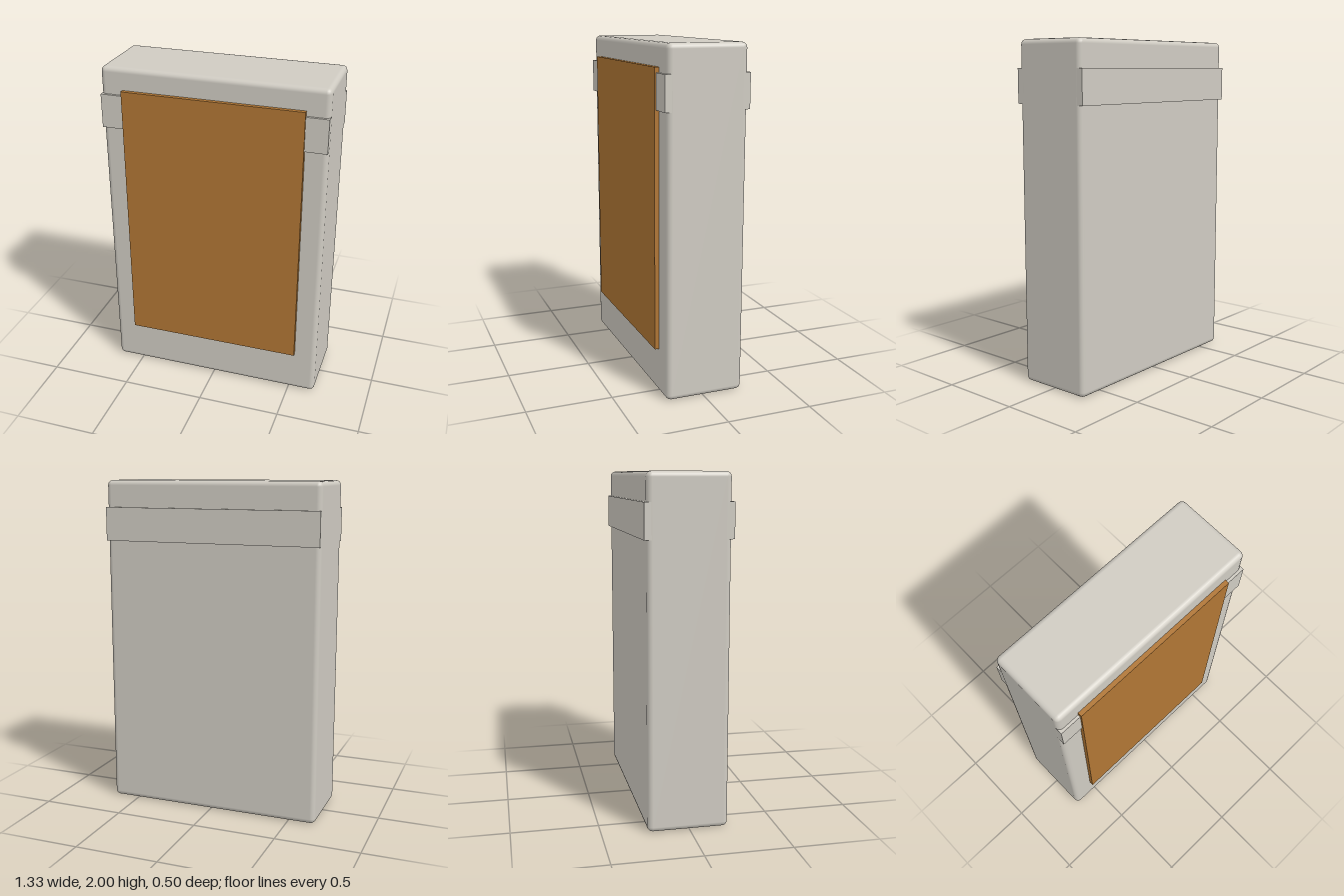
import * as THREE from 'three';
import { RoundedBoxGeometry } from 'three/addons/geometries/RoundedBoxGeometry.js';

export function createModel() {
  const model = new THREE.Group();
  model.name = 'box';

  const shell = new THREE.MeshStandardMaterial({ color: 0xcfcbc2 });
  shell.name = 'warm grey';
  const brown = new THREE.MeshStandardMaterial({ color: 0xb07634 });
  brown.name = 'brown';

  const add = (name, geometry, material, x, y, z) => {
    const mesh = new THREE.Mesh(geometry, material);
    mesh.name = name;
    mesh.position.set(x, y, z);
    model.add(mesh);
  };

  // Upright case with softened edges
  add('case', new RoundedBoxGeometry(1.33, 2, 0.465, 2, 0.03), shell, 0, 1, -0.008);

  // Band around the upper part, flush with the sides and proud at front and back
  add('band', new THREE.BoxGeometry(1.328, 0.2, 0.495), shell, 0, 1.74, -0.0075);

  // Raised front panel
  add('frontPanel', new THREE.BoxGeometry(1.068, 1.6, 0.04), brown, 0, 1.07, 0.23);

  return model;
}
